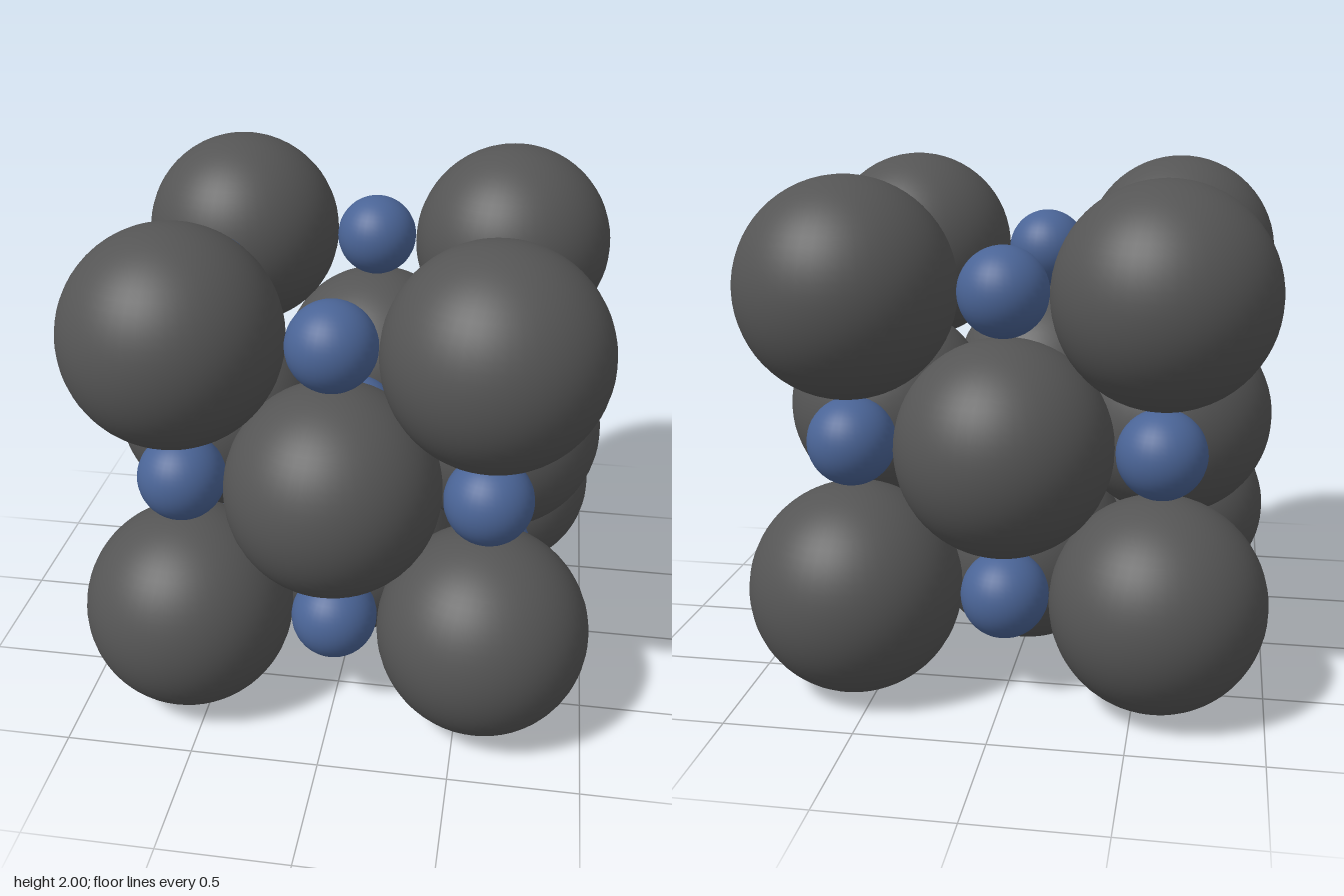
import * as THREE from 'three';

// Rock-salt crystal cell: large and small balls alternate on a 3 x 3 x 3 lattice
const SPACING = 0.587;
const LARGE_RADIUS = 0.413;
const SMALL_RADIUS = 0.17;

export function createModel() {
  const group = new THREE.Group();
  group.name = 'crystalCell';

  const largeGeometry = new THREE.SphereGeometry(LARGE_RADIUS, 48, 32);
  const smallGeometry = new THREE.SphereGeometry(SMALL_RADIUS, 32, 24);
  const largeMaterial = new THREE.MeshStandardMaterial({ color: 0x555555 });
  const smallMaterial = new THREE.MeshStandardMaterial({ color: 0x4a6496 });

  for (let i = -1; i <= 1; i++) {
    for (let j = -1; j <= 1; j++) {
      for (let k = -1; k <= 1; k++) {
        // The top face is left open, showing the small ball at the centre
        if (i === 0 && j === 1 && k === 0) continue;

        // Large balls: corners and face centres; small balls: edge middles and the centre
        const distance = Math.abs(i) + Math.abs(j) + Math.abs(k);
        const isLarge = distance % 2 === 1;
        const ball = new THREE.Mesh(
          isLarge ? largeGeometry : smallGeometry,
          isLarge ? largeMaterial : smallMaterial
        );
        ball.name = ['centreBall', 'faceBall', 'edgeBall', 'cornerBall'][distance];
        ball.position.set(i * SPACING, 1 + j * SPACING, k * SPACING);
        group.add(ball);
      }
    }
  }
  return group;
}
